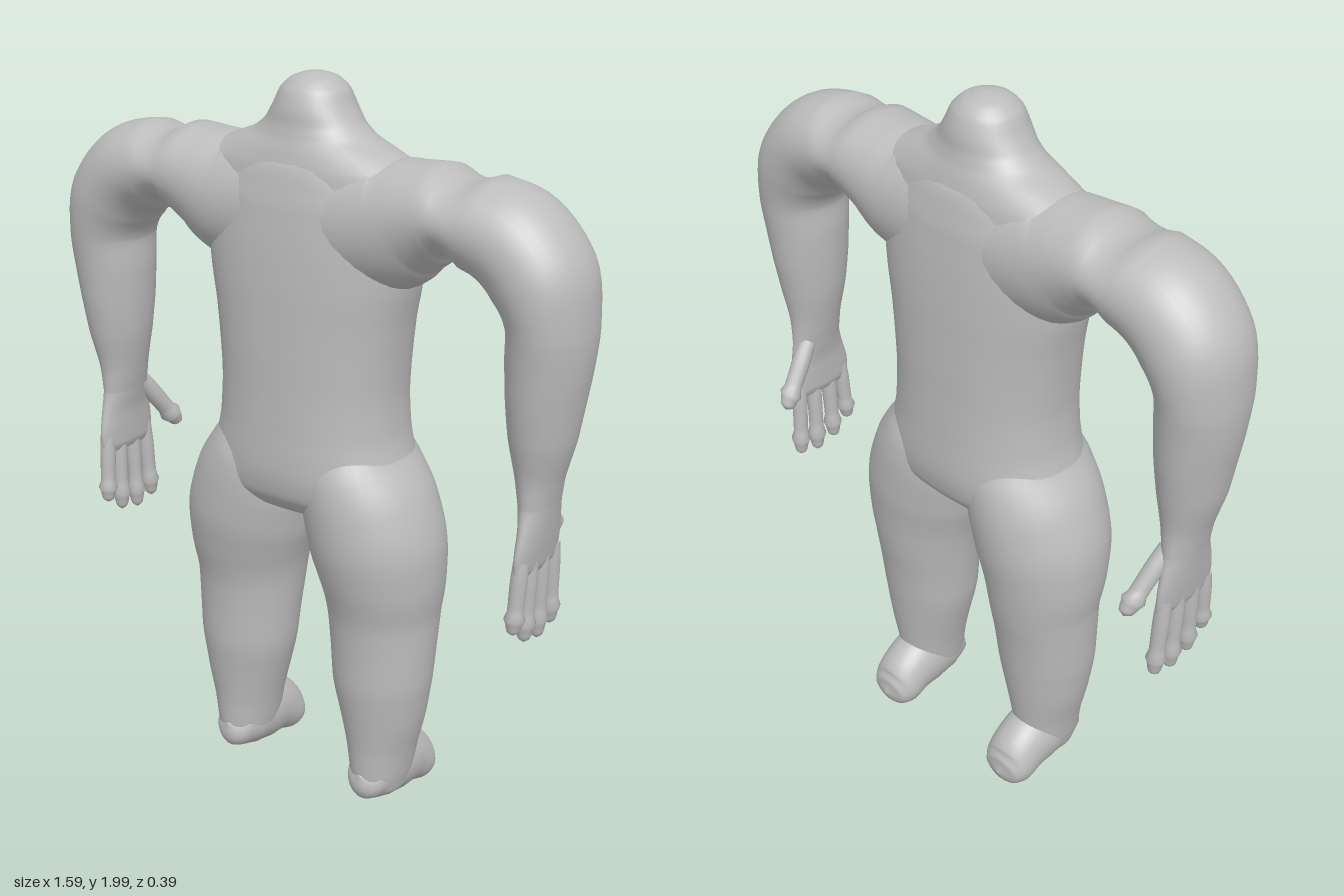
import * as THREE from 'three';

const X = new THREE.Vector3(1, 0, 0);
const Z = new THREE.Vector3(0, 0, 1);

// Smooth skin through oval sections [x, y, z, a, b]: b is the half-size along
// 'axis', a the half-size across it; power above 2 makes the oval boxier.
function loft(sections, axis, { sides = 36, steps = 5, power = 2 } = {}) {
  const path = new THREE.CatmullRomCurve3(sections.map(s => new THREE.Vector3(s[0], s[1], s[2])));
  const size = new THREE.CatmullRomCurve3(sections.map(s => new THREE.Vector3(s[3], s[4], 0)));
  const rows = (sections.length - 1) * steps;
  const round = v => Math.sign(v) * Math.abs(v) ** (2 / power);
  const position = [], index = [];
  for (let i = 0; i <= rows; i++) {
    const t = i / rows;
    const centre = path.getPoint(t), r = size.getPoint(t);
    const across = new THREE.Vector3().crossVectors(axis, path.getTangent(t)).normalize();
    for (let j = 0; j < sides; j++) {
      const angle = j / sides * Math.PI * 2;
      const p = centre.clone()
        .addScaledVector(across, Math.max(r.x, 0.0005) * round(Math.cos(angle)))
        .addScaledVector(axis, Math.max(r.y, 0.0005) * round(Math.sin(angle)));
      position.push(p.x, p.y, p.z);
      if (i < rows) {
        const k = (j + 1) % sides, a = i * sides, b = a + sides;
        index.push(a + j, a + k, b + k, a + j, b + k, b + j);
      }
    }
  }
  const geometry = new THREE.BufferGeometry();
  geometry.setAttribute('position', new THREE.Float32BufferAttribute(position, 3));
  geometry.setIndex(index);
  geometry.computeVertexNormals();
  return geometry;
}

// Rounded finger between two points
function finger(from, to, r) {
  const at = (t, k) => [...from.map((v, i) => v + (to[i] - v) * t), r * k, r * k];
  return loft([at(0, 0.9), at(0.3, 1), at(0.6, 0.95), at(0.85, 0.95), at(0.95, 0.7), at(1, 0)],
    X, { sides: 14, steps: 3 });
}

export function createModel() {
  const model = new THREE.Group();
  model.name = 'figure';
  const skin = new THREE.MeshStandardMaterial({ color: 0xbcbcbc });
  skin.name = 'grey skin';
  const add = (name, geometry) => {
    const mesh = new THREE.Mesh(geometry, skin);
    mesh.name = name;
    model.add(mesh);
  };

  // Torso, from crotch to shoulders: [y, half width, half depth]
  add('torso', loft([
    [0.85, 0, 0], [0.88, 0.25, 0.14], [0.93, 0.325, 0.182], [1.0, 0.292, 0.194],
    [1.1, 0.266, 0.191], [1.2, 0.26, 0.187], [1.3, 0.267, 0.184], [1.4, 0.28, 0.18],
    [1.5, 0.3, 0.175], [1.6, 0.31, 0.167], [1.7, 0.3, 0.155], [1.8, 0.2, 0.125], [1.83, 0, 0],
  ].map(([y, a, b]) => [0, y, 0, a, b]), Z, { sides: 56, power: 2.25 }));

  // Neck flaring into the shoulders, with a rounded top
  add('neck', loft([
    [1.72, 0.4, 0.14], [1.78, 0.34, 0.132], [1.82, 0.25, 0.122], [1.85, 0.175, 0.112], [1.88, 0.135, 0.105],
    [1.92, 0.108, 0.1], [1.96, 0.088, 0.085], [1.985, 0.06, 0.06], [1.996, 0.03, 0.03], [2.0, 0, 0],
  ].map(([y, a, b]) => [0, y, 0, a, b]), Z, { sides: 40 }));

  for (const [side, s] of [['left', 1], ['right', -1]]) {
    // Arm: out from the chest, over the shoulder bend and down to the wrist
    add(side + 'Arm', loft([
      [0, 1.645, 0, 0.18, 0.15], [0.14, 1.65, 0, 0.178, 0.15], [0.25, 1.662, 0, 0.168, 0.15],
      [0.32, 1.688, 0, 0.14, 0.149], [0.4, 1.709, 0, 0.118, 0.148], [0.5, 1.7, 0, 0.118, 0.148],
      [0.59, 1.67, 0, 0.127, 0.147], [0.66, 1.595, 0, 0.125, 0.145], [0.69, 1.5, 0, 0.106, 0.134],
      [0.688, 1.4, 0, 0.103, 0.122], [0.683, 1.3, 0, 0.093, 0.112], [0.68, 1.2, 0, 0.08, 0.097],
      [0.677, 1.1, -0.003, 0.056, 0.08], [0.678, 1.03, -0.005, 0.042, 0.079],
    ].map(([x, ...rest]) => [x * s, ...rest]), Z));

    // Flat hand
    add(side + 'Hand', loft([
      [0.677, 1.08, -0.004, 0.048, 0.076], [0.678, 1.03, -0.005, 0.042, 0.079],
      [0.68, 0.97, -0.003, 0.032, 0.092], [0.678, 0.91, 0, 0.026, 0.102],
      [0.676, 0.87, 0, 0.022, 0.1], [0.675, 0.85, 0, 0.013, 0.08], [0.675, 0.842, 0, 0, 0],
    ].map(([x, ...rest]) => [x * s, ...rest]), Z));

    // Four fingers and a thumb
    [[0.085, 0.7], [0.033, 0.658], [-0.027, 0.643], [-0.085, 0.658]].forEach(([z, tip], i) =>
      add(side + 'Finger' + (i + 1), finger([0.68 * s, 0.9, z * 0.9], [0.674 * s, tip, z * 1.08], 0.022)));
    add(side + 'Thumb', finger([0.66 * s, 1.04, -0.05], [0.63 * s, 0.875, -0.172], 0.026));

    // Leg: from inside the hip down to the ankle
    add(side + 'Leg', loft([
      [0.11, 1.16, 0, 0, 0], [0.125, 1.1, 0, 0.115, 0.13], [0.146, 1.0, 0, 0.144, 0.18],
      [0.177, 0.9, 0, 0.173, 0.188], [0.205, 0.8, 0, 0.181, 0.184], [0.22, 0.7, -0.003, 0.17, 0.168],
      [0.223, 0.6, -0.008, 0.153, 0.15], [0.226, 0.5, -0.003, 0.145, 0.138], [0.228, 0.4, 0.002, 0.137, 0.131],
      [0.232, 0.3, 0.002, 0.118, 0.119], [0.232, 0.2, 0.003, 0.094, 0.107], [0.232, 0.12, 0.006, 0.08, 0.1],
      [0.232, 0.07, 0.01, 0.066, 0.08], [0.232, 0.04, 0.02, 0, 0],
    ].map(([x, ...rest]) => [x * s, ...rest]), Z));

    // Foot, heel to toe: [z, y, half height, half width]
    add(side + 'Foot', loft([
      [0.11, 0.13, 0, 0], [0.085, 0.118, 0.062, 0.055], [0.03, 0.118, 0.084, 0.075],
      [-0.04, 0.12, 0.098, 0.08], [-0.1, 0.103, 0.086, 0.078], [-0.15, 0.07, 0.066, 0.075],
      [-0.18, 0.06, 0.046, 0.056], [-0.196, 0.058, 0, 0],
    ].map(([z, y, a, b]) => [0.23 * s, y, z, a, b]), X));
  }
  return model;
}
